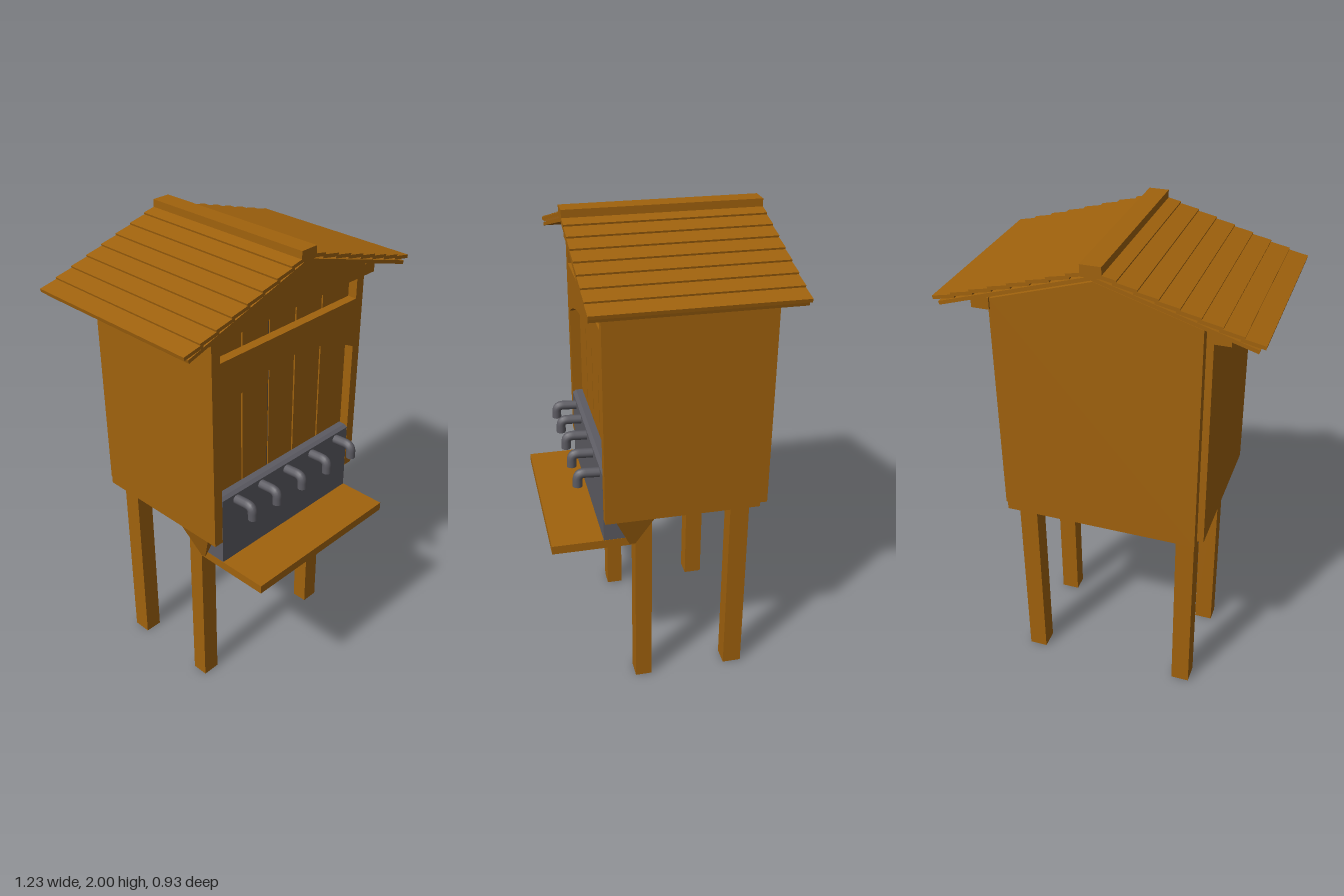
import * as THREE from 'three';
import { ConvexGeometry } from 'three/addons/geometries/ConvexGeometry.js';

export function createModel() {
  const model = new THREE.Group();
  model.name = 'beehive';
  const body = new THREE.Group();
  body.name = 'hiveBody';
  body.position.x = 0.006;
  const roof = new THREE.Group();
  roof.name = 'roof';
  model.add(body, roof);

  const material = (name, color) => {
    const m = new THREE.MeshStandardMaterial({ color });
    m.name = name;
    return m;
  };
  const wood = material('honeyWood', 0xa0620d);
  const metal = material('greyMetal', 0x5c5b62);
  const blue = material('slateBlue', 0x3c4a66);

  const add = (parent, name, geometry, mat) => {
    const mesh = new THREE.Mesh(geometry, mat);
    mesh.name = name;
    parent.add(mesh);
    return mesh;
  };
  // box given by its two limits on each axis
  const box = (parent, name, x0, x1, y0, y1, z0, z1, mat = wood) => {
    const mesh = add(parent, name, new THREE.BoxGeometry(x1 - x0, y1 - y0, z1 - z0), mat);
    mesh.position.set((x0 + x1) / 2, (y0 + y1) / 2, (z0 + z1) / 2);
    return mesh;
  };
  const extrude = (shape, depth) =>
    new THREE.ExtrudeGeometry(shape, { depth, bevelEnabled: false, curveSegments: 16 });
  const shapeOf = (points) => new THREE.Shape(points.map(([x, y]) => new THREE.Vector2(x, y)));

  const floorY = 0.845;
  const roofY = (x) => 1.945 - 0.305 * Math.abs(x); // underside of the roof

  // legs, side walls and eave rails, mirrored
  for (const s of [-1, 1]) {
    const mirrored = (name, a, b, ...rest) =>
      box(body, name, Math.min(s * a, s * b), Math.max(s * a, s * b), ...rest);
    mirrored('frontLeg', 0.305, 0.382, 0, floorY, 0.05, 0.12);
    mirrored('backLeg', 0.305, 0.382, 0, floorY, -0.36, -0.28);
    mirrored('sideWall', 0.395, 0.427, floorY, 1.805, -0.39, 0.21);
    mirrored('eaveRail', 0.42, 0.492, 1.74, 1.788, -0.4, 0.25);
  }
  box(body, 'floor', -0.4, 0.4, floorY, 0.87, -0.4, 0.21);

  // front wall with an arched opening and a slot below the gable
  const front = new THREE.Shape();
  front.moveTo(-0.427, floorY);
  front.lineTo(-0.385, floorY);
  front.lineTo(-0.385, 1.44);
  front.quadraticCurveTo(-0.2, 1.54, 0, 1.54);
  front.quadraticCurveTo(0.2, 1.54, 0.385, 1.44);
  front.lineTo(0.385, floorY);
  front.lineTo(0.427, floorY);
  front.lineTo(0.427, roofY(0.427));
  front.lineTo(0, roofY(0));
  front.lineTo(-0.427, roofY(0.427));
  front.closePath();
  const slot = [[-0.385, 1.655], [-0.385, 1.74], [0.385, 1.74], [0.385, 1.655]];
  front.holes.push(new THREE.Path(slot.map(([x, y]) => new THREE.Vector2(x, y))));
  add(body, 'frontWall', extrude(front, 0.04), wood).position.z = 0.21;

  // back panel, inset at the corners
  const back = shapeOf([[-0.4, floorY], [0.4, floorY], [0.4, roofY(0.4) - 0.02],
    [0, roofY(0) - 0.02], [-0.4, roofY(0.4) - 0.02]]);
  add(body, 'backWall', extrude(back, 0.04), wood).position.z = -0.43;

  // upright boards behind the openings, with narrow gaps
  const edges = [-0.395, -0.228, -0.08, 0.07, 0.226, 0.395];
  for (let i = 0; i < 5; i++) {
    box(body, 'innerBoard', edges[i] + 0.004, edges[i + 1] - 0.004, 0.87, 1.79, 0.185, 0.205);
  }
  box(body, 'blueStrip', -0.086, -0.074, 0.87, 1.76, 0.195, 0.2, blue);

  // metal trough front, a prism running across the hive
  const trough = shapeOf([[0.14, 0.72], [0.25, 0.72], [0.25, 1.045], [0.235, 1.055],
    [0.206, 1.055], [0.206, floorY]]);
  const troughGeometry = extrude(trough, 0.768);
  troughGeometry.rotateY(-Math.PI / 2).translate(0.384, 0, 0);
  add(body, 'trough', troughGeometry, metal);

  // tapered wooden hopper below the floor
  const hopper = [];
  for (const s of [-1, 1]) {
    for (const [x, y, z] of [[0.425, floorY, 0.05], [0.425, floorY, 0.205],
      [0.386, 0.71, 0.12], [0.386, 0.71, 0.145]]) {
      hopper.push(new THREE.Vector3(s * x, y, z));
    }
  }
  add(body, 'hopper', new ConvexGeometry(hopper), wood);
  box(body, 'landingShelf', -0.385, 0.385, 0.705, 0.742, 0.125, 0.462);

  // bent spouts
  const path = new THREE.CurvePath();
  const v = (y, z) => new THREE.Vector3(0, y, z);
  path.add(new THREE.LineCurve3(v(1.018, 0.24), v(1.022, 0.305)));
  path.add(new THREE.QuadraticBezierCurve3(v(1.022, 0.305), v(1.024, 0.335), v(1.0, 0.337)));
  path.add(new THREE.LineCurve3(v(1.0, 0.337), v(0.966, 0.338)));
  const pipe = new THREE.TubeGeometry(path, 20, 0.02, 12);
  const cap = new THREE.CircleGeometry(0.02, 12).rotateX(Math.PI / 2);
  for (const x of [-0.298, -0.155, -0.004, 0.153, 0.313]) {
    const spout = new THREE.Group();
    spout.name = 'spout';
    spout.position.x = x - 0.006;
    add(spout, 'spoutPipe', pipe, metal);
    add(spout, 'spoutMouth', cap, metal).position.set(0, 0.966, 0.338);
    body.add(spout);
  }

  // roof deck, lapped boards and ridge cap
  const deck = shapeOf([[-0.592, roofY(0.592)], [0, roofY(0)], [0.592, roofY(0.592)],
    [0.596, roofY(0.592) + 0.014], [0, roofY(0) + 0.015], [-0.596, roofY(0.592) + 0.014]]);
  add(roof, 'roofDeck', extrude(deck, 0.785), wood).position.z = -0.463;
  for (const s of [-1, 1]) {
    for (let k = 0; k < 8; k++) {
      const board = add(roof, 'roofBoard', new THREE.BoxGeometry(0.09, 0.014, 0.79), wood);
      board.position.set(s * (0.572 - 0.075 * k), 1.8 + 0.0229 * k, -0.07);
      board.rotation.z = -s * 0.2;
    }
  }
  box(roof, 'ridgeCap', -0.04, 0.04, 1.955, 2.0, -0.465, 0.325);
  return model;
}
